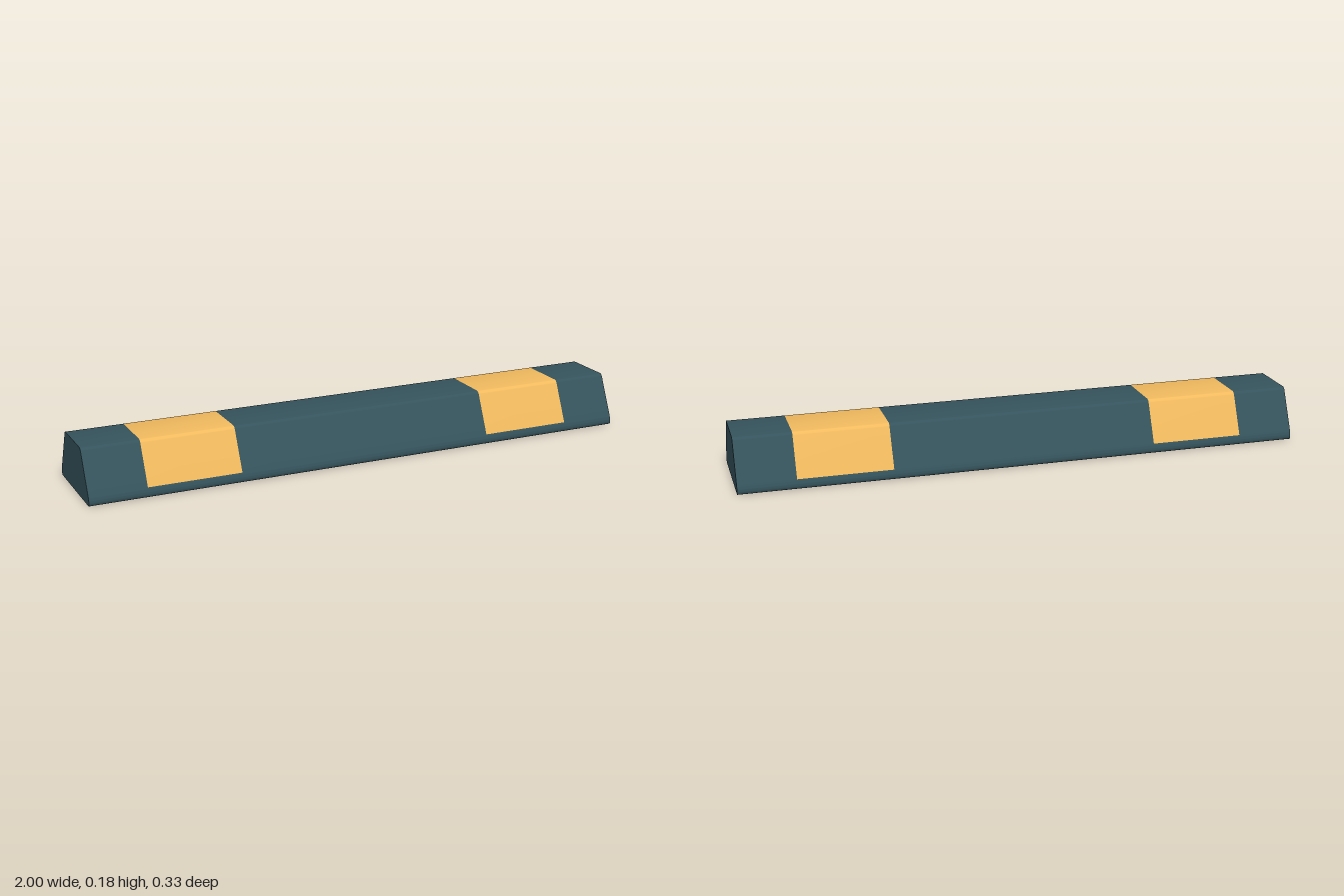
import * as THREE from 'three';
import { toCreasedNormals } from 'three/addons/utils/BufferGeometryUtils.js';

const SPLIT = [0.162, 0.034]; // height where the painted bands begin

// Rounded corner as points from a to b around control point c, all as [z, y]
const corner = (a, c, b) => new THREE.QuadraticBezierCurve(
  new THREE.Vector2(...a), new THREE.Vector2(...c), new THREE.Vector2(...b)).getPoints(6);

const mirrored = (points) => points.map((p) => new THREE.Vector2(-p.x, p.y)).reverse();

// Sweep an open cross-section straight along x
function sweep(points, x0, x1) {
  const positions = [];
  const index = [];
  points.forEach((p, i) => {
    positions.push(x0, p.y, p.x, x1, p.y, p.x);
    if (i > 0) {
      const a = 2 * (i - 1);
      index.push(a, a + 1, a + 3, a, a + 3, a + 2);
    }
  });
  const geometry = new THREE.BufferGeometry();
  geometry.setAttribute('position', new THREE.Float32BufferAttribute(positions, 3));
  geometry.setIndex(index);
  return toCreasedNormals(geometry, 0.6);
}

export function createModel() {
  const group = new THREE.Group();
  const dark = new THREE.MeshStandardMaterial({ color: 0x35535c });
  const yellow = new THREE.MeshStandardMaterial({ color: 0xf0b95e });

  const add = (name, geometry, material) => {
    const mesh = new THREE.Mesh(geometry, material);
    mesh.name = name;
    group.add(mesh);
  };

  // Upper cross-section runs front to back over the top, lower one back to front underneath
  const shoulder = [new THREE.Vector2(...SPLIT),
    ...corner([0.099, 0.168], [0.0943, 0.178], [0.085, 0.178])];
  const foot = [...corner([0.158, 0], [0.167, 0], [0.167, 0.009]),
    ...corner([0.167, 0.014], [0.167, 0.0235], SPLIT)];
  const upper = [...shoulder, ...mirrored(shoulder)];
  const lower = [...mirrored(foot), ...foot];

  // Base running the full length
  add('base', sweep(lower, -1, 1), dark);

  // Top and sloping sides, alternating plain sections and painted bands
  const stops = [-1, -0.8, -0.47, 0.47, 0.8, 1];
  for (let i = 0; i < stops.length - 1; i++) {
    const painted = i % 2 === 1;
    add(painted ? 'yellowBand' : 'plainSection',
      sweep(upper, stops[i], stops[i + 1]), painted ? yellow : dark);
  }

  // Flat ends
  const outline = new THREE.Shape([...upper, ...lower.slice(1, -1)]);
  for (const side of [-1, 1]) {
    const cap = new THREE.ShapeGeometry(outline);
    cap.rotateY(side * Math.PI / 2).translate(side, 0, 0);
    add(side > 0 ? 'leftEnd' : 'rightEnd', cap, dark);
  }

  return group;
}
